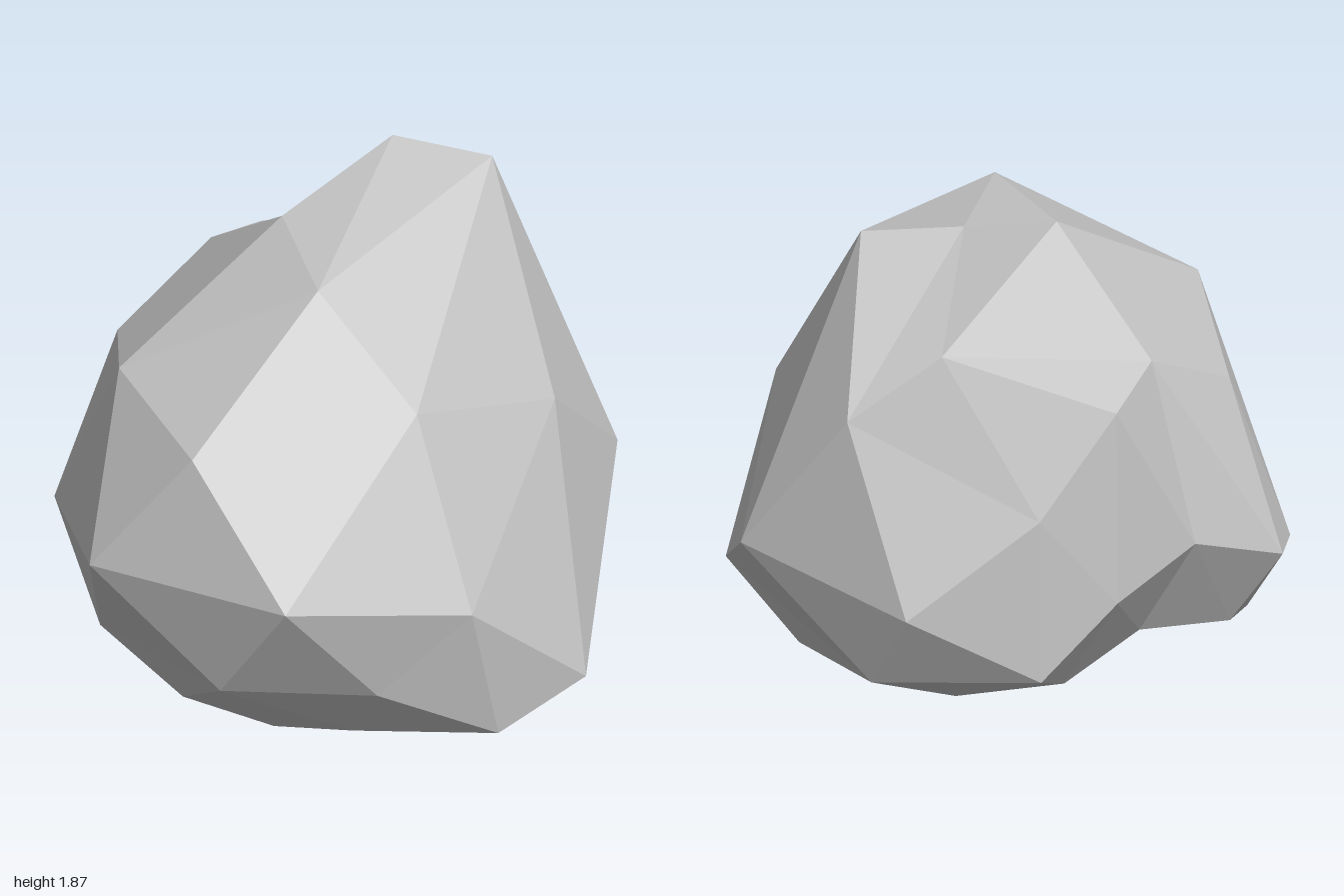
import * as THREE from 'three';

// The boulder is a once-subdivided icosahedron with displaced points.
// It is laid out in rings of five between two poles, the first pole pointing to +x.
const POLE_A = [0.74, 1.14, -0.2];
const POLE_B = [-0.775, 0.305, -0.083];
const RING_A = [[0.48, 0.41, 0.7], [0.67, 0.11, -0.16], [0.13, 0.655, -1], [0.05, 1.865, -0.45], [-0.12, 1.25, 0.86]];
const RING_B = [[-0.04, 0.015, 0.35], [-0.29, 0.2, -0.45], [-0.51, 1.325, -0.65], [-0.76, 1.175, -0.02], [-0.62, 0.33, 0.46]];

// Displaced edge midpoints, five for each kind of edge
const CAP_A = [[0.76, 0.7, 0.555], [0.97, 0.28, 0.08], [0.755, 0.74, -0.7], [0.39, 1.835, -0.495], [0.5, 1.33, 0.41]];
const ALONG_A = [[0.785, 0.18, 0.39], [0.28, 0.34, -0.845], [0.37, 1.28, -0.81], [0.11, 1.675, 0.33], [0.275, 0.815, 1]];
const DOWN = [[0.31, 0.15, 0.51], [0.08, 0.11, -0.44], [-0.285, 0.98, -0.82], [-0.18, 1.71, -0.05], [-0.475, 0.8, 0.895]];
const UP = [[0.38, 0, 0.15], [-0.29, 0.385, -0.82], [0.07, 1.505, -0.71], [-0.55, 1.315, 0.465], [-0.015, 0.41, 0.87]];
const ALONG_B = [[-0.16, 0.067, -0.02], [-0.52, 0.635, -0.68], [-0.57, 1.39, -0.37], [-0.945, 0.56, 0.08], [-0.28, 0.18, 0.56]];
const CAP_B = [[-0.43, 0.155, 0.14], [-0.5, 0.317, -0.237], [-0.72, 0.73, -0.38], [-0.97, 0.61, -0.16], [-0.79, 0.26, 0.125]];

function boulderGeometry() {
  const positions = [];
  const tri = (...corners) => corners.forEach((p) => positions.push(...p));
  // One large face split into four by its edge midpoints
  const face = (a, b, c, ab, bc, ca) => {
    tri(a, ab, ca);
    tri(ab, b, bc);
    tri(ca, bc, c);
    tri(ab, bc, ca);
  };
  for (let i = 0; i < 5; i++) {
    const j = (i + 1) % 5;
    face(POLE_A, RING_A[i], RING_A[j], CAP_A[i], ALONG_A[i], CAP_A[j]);
    face(RING_A[i], RING_B[i], RING_A[j], DOWN[i], UP[i], ALONG_A[i]);
    face(RING_A[j], RING_B[i], RING_B[j], UP[i], ALONG_B[i], DOWN[j]);
    face(RING_B[i], POLE_B, RING_B[j], CAP_B[i], CAP_B[j], ALONG_B[i]);
  }
  const geometry = new THREE.BufferGeometry();
  geometry.setAttribute('position', new THREE.Float32BufferAttribute(positions, 3));
  geometry.computeVertexNormals(); // unshared corners give flat facets
  return geometry;
}

export function createModel() {
  const stone = new THREE.MeshStandardMaterial({ color: 0xc6c6c6, flatShading: true });
  stone.name = 'light grey stone';

  const boulder = new THREE.Mesh(boulderGeometry(), stone);
  boulder.name = 'boulder';

  const group = new THREE.Group();
  group.name = 'rock';
  group.add(boulder);
  return group;
}
